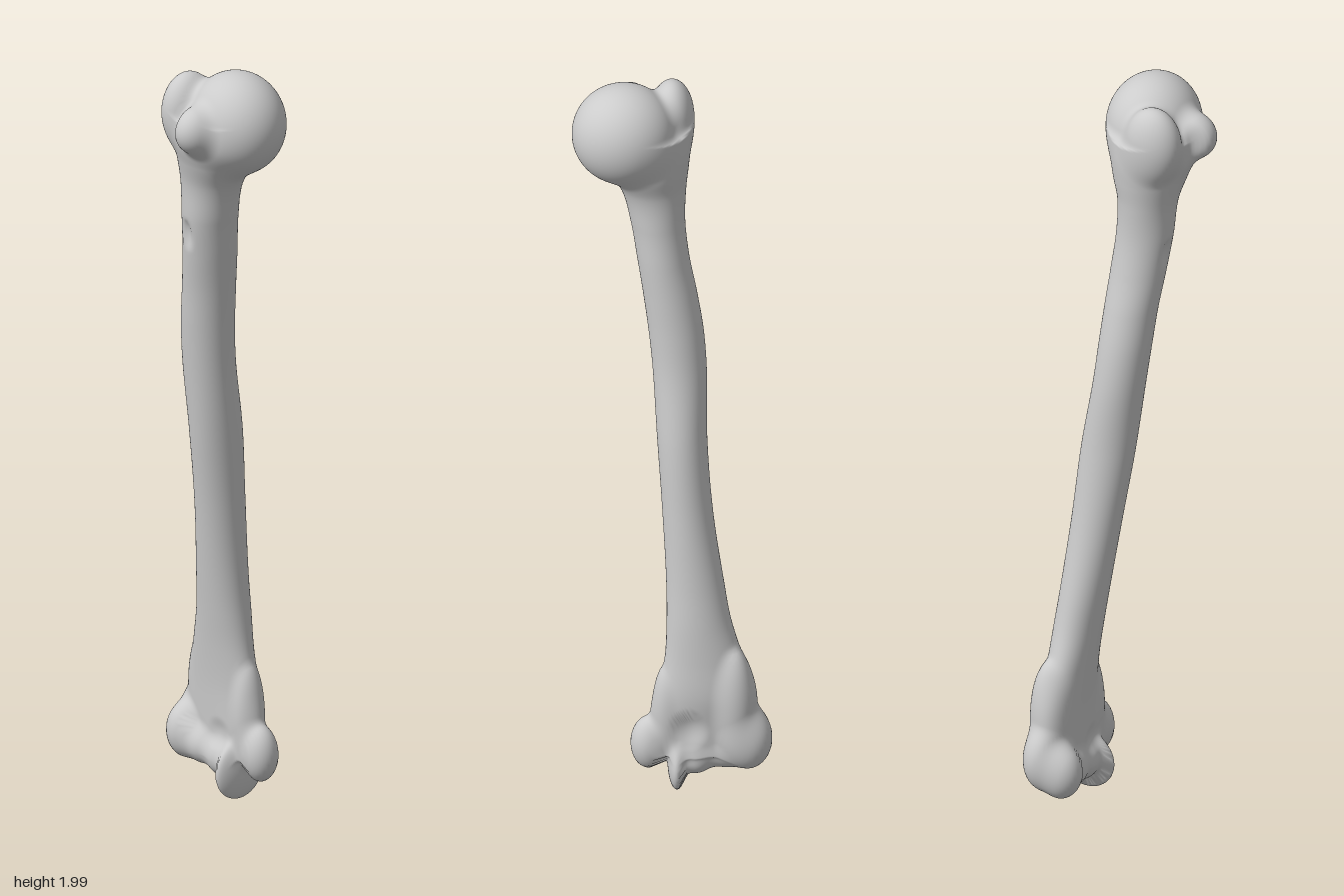
import * as THREE from 'three';

// Shaft outline: height, then x min, x max, z min, z max of the oval section
const SECTIONS = [
  [0.10, -0.17, 0.03, -0.155, -0.075],
  [0.20, -0.20, 0.05, -0.160, -0.070],
  [0.30, -0.20, 0.033, -0.170, -0.065],
  [0.40, -0.173, 0.018, -0.165, -0.055],
  [0.50, -0.145, 0.014, -0.158, -0.042],
  [0.60, -0.128, 0.015, -0.147, -0.028],
  [0.80, -0.100, 0.025, -0.127, 0.000],
  [1.00, -0.086, 0.038, -0.108, 0.030],
  [1.20, -0.084, 0.050, -0.076, 0.055],
  [1.30, -0.076, 0.060, -0.066, 0.066],
  [1.40, -0.060, 0.073, -0.058, 0.076],
  [1.50, -0.041, 0.088, -0.050, 0.090],
  [1.60, -0.031, 0.104, -0.041, 0.103],
  [1.70, -0.034, 0.130, -0.041, 0.110],
  [1.76, -0.040, 0.168, -0.058, 0.126],
  [1.82, -0.045, 0.200, -0.070, 0.145],
  [1.90, -0.040, 0.200, -0.070, 0.140],
];
const outline = new THREE.CubicInterpolant(
  SECTIONS.map((s) => s[0]), SECTIONS.flatMap((s) => s.slice(1)), 4);

// Rounded masses joined to the shaft: centre, radii
const MASSES = [
  [[0.120, 1.866, 0.014], [0.129, 0.131, 0.117]], // ball of the joint
  [[0.002, 1.880, 0.072], [0.055, 0.099, 0.074]], // greater tubercle
  [[0.105, 1.868, 0.125], [0.052, 0.062, 0.066]], // lesser tubercle
  [[-0.155, 0.270, -0.138], [0.048, 0.150, 0.045]], // outer column
  [[-0.185, 0.170, -0.135], [0.062, 0.085, 0.050]], // outer epicondyle
  [[-0.188, 0.145, -0.088], [0.052, 0.073, 0.056]], // capitulum
  [[-0.130, 0.122, -0.100], [0.062, 0.052, 0.052]], // capitulum bridge
  [[-0.058, 0.108, -0.105], [0.050, 0.052, 0.054]], // trochlea waist
  [[-0.012, 0.085, -0.104], [0.024, 0.076, 0.074]], // trochlea flange
  [[0.058, 0.142, -0.114], [0.045, 0.070, 0.044]], // inner epicondyle
  [[0.015, 0.240, -0.112], [0.028, 0.110, 0.036]], // inner column
];

// Hollows carved away: centre, radii
const HOLLOWS = [
  [[0.056, 1.900, 0.182], [0.016, 0.120, 0.036]], // groove between tubercles
  [[0.025, 1.560, 0.104], [0.012, 0.030, 0.014]], // small pit on the shaft
  [[-0.050, 0.180, -0.045], [0.032, 0.030, 0.028]], // front fossa
  [[-0.040, 0.205, -0.185], [0.042, 0.052, 0.038]], // rear fossa
];

function ellipsoid(x, y, z, [c, r]) {
  const a = (x - c[0]) / r[0], b = (y - c[1]) / r[1], d = (z - c[2]) / r[2];
  const k0 = Math.hypot(a, b, d);
  const k1 = Math.hypot(a / r[0], b / r[1], d / r[2]);
  return k1 < 1e-6 ? -Math.min(...r) : k0 * (k0 - 1) / k1;
}

function shaftDistance(x, y, z) {
  const h = THREE.MathUtils.clamp(y, 0.1, 1.9);
  const [x0, x1, z0, z1] = outline.evaluate(h);
  const rx = (x1 - x0) / 2, rz = (z1 - z0) / 2;
  const q = Math.hypot((x - (x0 + x1) / 2) / rx, (z - (z0 + z1) / 2) / rz);
  return Math.max((q - 1) * Math.min(rx, rz), y - 1.87, 0.13 - y);
}

function smoothMin(a, b, k) {
  const h = Math.max(k - Math.abs(a - b), 0) / k;
  return Math.min(a, b) - h * h * k / 4;
}

// Signed distance to the blended bone surface
function field(x, y, z) {
  let d = shaftDistance(x, y, z);
  for (const m of MASSES) d = smoothMin(d, ellipsoid(x, y, z, m), 0.025);
  for (const h of HOLLOWS) d = -smoothMin(-d, ellipsoid(x, y, z, h), 0.02);
  return d;
}

// Walk inwards along a ray until the surface is met, then refine
function surfacePoint(origin, dir, reach, limit) {
  const value = (t) => {
    const y = origin.y + dir.y * t;
    return Math.max(field(origin.x + dir.x * t, y, origin.z + dir.z * t), limit(y));
  };
  const step = 0.006;
  let t = reach;
  while (t > 0 && value(t) > 0) t -= step;
  let lo = Math.max(t, 0), hi = t + step;
  for (let i = 0; i < 10; i++) {
    const mid = (lo + hi) / 2;
    if (value(mid) > 0) hi = mid; else lo = mid;
  }
  return origin.clone().addScaledVector(dir, lo);
}

// Move every vertex by a rule and take smooth normals from the field
function sculpt(name, geometry, rule) {
  const pos = geometry.attributes.position, nor = geometry.attributes.normal;
  const v = new THREE.Vector3(), n = new THREE.Vector3(), e = 0.003;
  for (let i = 0; i < pos.count; i++) {
    const p = rule(v.fromBufferAttribute(pos, i));
    n.set(
      field(p.x + e, p.y, p.z) - field(p.x - e, p.y, p.z),
      field(p.x, p.y + e, p.z) - field(p.x, p.y - e, p.z),
      field(p.x, p.y, p.z + e) - field(p.x, p.y, p.z - e)).normalize();
    pos.setXYZ(i, p.x, p.y, p.z);
    nor.setXYZ(i, n.x, n.y, n.z);
  }
  const mesh = new THREE.Mesh(geometry,
    new THREE.MeshStandardMaterial({ color: 0xcccccc, roughness: 0.8 }));
  mesh.name = name;
  return mesh;
}

// A joint end is a sphere pressed onto the surface, stopped at a height limit
function jointEnd(name, centre, limit) {
  return sculpt(name, new THREE.SphereGeometry(1, 128, 96),
    (v) => surfacePoint(centre, v.clone().normalize(), 0.36, limit));
}

// The shaft is an open tube whose rings follow the section centres
function shaft(bottom, top) {
  const tube = new THREE.CylinderGeometry(1, 1, top - bottom, 64, 160, true);
  tube.translate(0, (top + bottom) / 2, 0);
  return sculpt('shaft', tube, (v) => {
    const [x0, x1, z0, z1] = outline.evaluate(v.y);
    const centre = new THREE.Vector3((x0 + x1) / 2, v.y, (z0 + z1) / 2);
    return surfacePoint(centre, new THREE.Vector3(v.x, 0, v.z).normalize(), 0.2, () => -1);
  });
}

export function createModel() {
  const bone = new THREE.Group();
  bone.name = 'upperArmBone';
  bone.add(
    jointEnd('shoulderEnd', new THREE.Vector3(0.085, 1.85, 0.04), (y) => 1.64 - y),
    shaft(0.33, 1.71),
    jointEnd('elbowEnd', new THREE.Vector3(-0.07, 0.15, -0.112), (y) => y - 0.4),
  );
  return bone;
}
